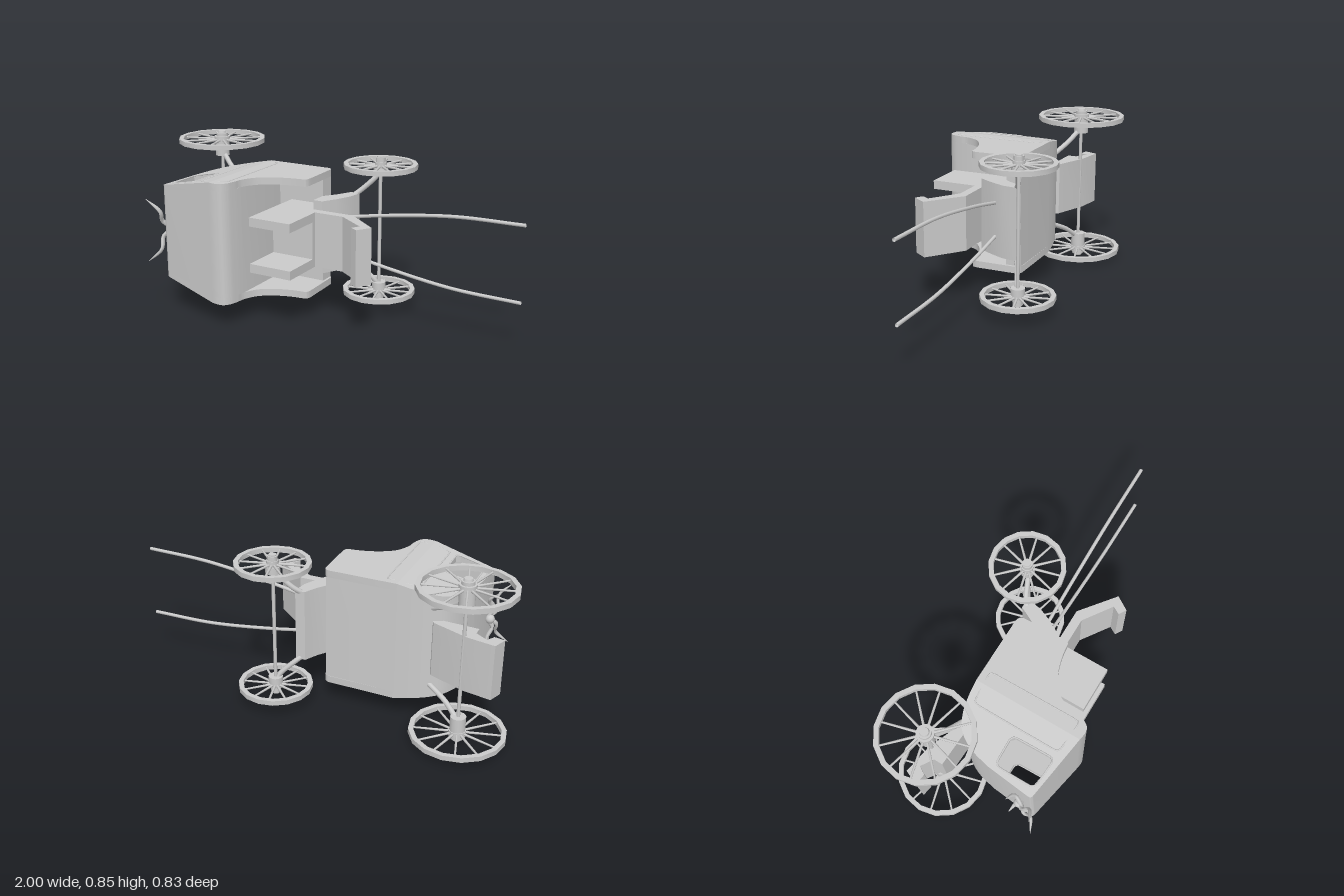
import * as THREE from 'three';
import { toCreasedNormals } from 'three/addons/utils/BufferGeometryUtils.js';

const grey = new THREE.MeshStandardMaterial({ color: 0xcccccc, side: THREE.DoubleSide });
const V = (x, y, z) => new THREE.Vector3(x, y, z);
const V2 = (pts) => pts.map(([x, y]) => new THREE.Vector2(x, y));
const HALF = 0.3075, WALL = 0.036, SPLIT = -0.42;

// Body narrows toward the rear
const taper = (x) => (x > SPLIT ? 1 : 1 - 0.215 * Math.min(1, (SPLIT - x) / 0.33));

function add(parent, name, geo) {
  const mesh = new THREE.Mesh(geo, grey);
  mesh.name = name;
  parent.add(mesh);
  return mesh;
}

// Extrude a side profile between two widths, optionally tapered
function slab(shape, z0, z1, tapered = false) {
  const geo = new THREE.ExtrudeGeometry(shape, { depth: z1 - z0, bevelEnabled: false, curveSegments: 6 });
  geo.translate(0, 0, z0);
  if (tapered) {
    const p = geo.attributes.position;
    for (let i = 0; i < p.count; i++) p.setZ(i, p.getZ(i) * taper(p.getX(i)));
  }
  return toCreasedNormals(geo, 0.6);
}

const poly = (pts) => new THREE.Shape(V2(pts));

function tube(points, r, seg = 16, closed = false, tension = 0.5) {
  const curve = new THREE.CatmullRomCurve3(points, closed, 'catmullrom', tension);
  return new THREE.TubeGeometry(curve, seg, r, 8, closed);
}

// Rounded four-cornered loop: two points beside each corner
function loopPoints(corners, inset = 0.02) {
  const c = V2(corners), out = [];
  c.forEach((p, i) => {
    for (const q of [c[(i + 3) % 4], c[(i + 1) % 4]]) {
      out.push(p.clone().add(q.clone().sub(p).setLength(inset)));
    }
  });
  return out;
}

const windowCorners = [[-0.705, 0.13], [-0.555, 0.13], [-0.55, 0.35], [-0.705, 0.335]];
const doorCorners = [[-0.515, -0.1], [-0.355, -0.11], [-0.35, 0.365], [-0.515, 0.35]];
const floorCurve = [[-0.5, -0.138], [-0.58, -0.12], [-0.65, -0.08], [-0.7, 0], [-0.727, 0.107]];
const roofFront = [[-0.355, 0.405], [-0.333, 0.375], [-0.322, 0.33], [-0.315, 0.283]];

function rearOutline(shape) {
  shape.splineThru(V2(floorCurve));
  shape.lineTo(-0.75, 0.33);
  shape.quadraticCurveTo(-0.752, 0.347, -0.735, 0.35);
  shape.lineTo(SPLIT, 0.406);
}

function body(parent) {
  const g = new THREE.Group();
  g.name = 'cab';
  parent.add(g);

  // Roof, rear, floor and front wall as one hollow shell
  const shell = new THREE.Shape();
  shell.moveTo(SPLIT, -0.145);
  rearOutline(shell);
  shell.lineTo(-0.385, 0.412);
  shell.splineThru(V2(roofFront));
  for (const [x, y] of [[-0.315, -0.06], [-0.06, -0.06], [-0.06, -0.14]]) shell.lineTo(x, y);
  shell.closePath();
  shell.holes.push(new THREE.Path(V2([[-0.345, -0.11], [-0.345, 0.3], [-0.39, 0.38], [SPLIT, 0.375],
    [-0.72, 0.32], [-0.695, 0.1], [-0.66, 0], [-0.6, -0.07], [-0.5, -0.105], [SPLIT, -0.11]])));
  add(g, 'cabShell', slab(shell, -HALF + WALL, HALF - WALL, true));

  // Side walls: rear half has the window, front half sweeps down
  const rear = new THREE.Shape();
  rear.moveTo(SPLIT, -0.145);
  rearOutline(rear);
  rear.closePath();
  rear.holes.push(new THREE.Path(loopPoints(windowCorners)));
  const front = new THREE.Shape();
  front.moveTo(SPLIT, -0.145);
  front.lineTo(SPLIT, 0.406);
  front.lineTo(-0.385, 0.412);
  front.splineThru(V2([...roofFront, [-0.278, 0.214], [-0.208, 0.166], [-0.128, 0.139], [-0.053, 0.128]]));
  front.quadraticCurveTo(-0.04, 0.12, -0.042, 0.08);
  front.lineTo(-0.048, -0.115);
  front.quadraticCurveTo(-0.05, -0.14, -0.08, -0.143);
  front.closePath();

  for (const s of [-1, 1]) {
    const z0 = s > 0 ? HALF - WALL : -HALF, z1 = z0 + WALL;
    add(g, 'rearSideWall', slab(rear, z0, z1, true));
    add(g, 'frontSideWall', slab(front, z0, z1, true));
    for (const [name, corners] of [['windowFrame', windowCorners], ['doorFrame', doorCorners]]) {
      const pts = loopPoints(corners).map((p) => V(p.x, p.y, s * HALF * taper(p.x)));
      add(g, name, tube(pts, 0.004, 64, true, 0.15));
    }
  }
}

// Wheel around the z axis; outward side is +z
function wheel(name, R, hubSteps) {
  const g = new THREE.Group();
  g.name = name;
  const ring = new THREE.Shape(), hole = new THREE.Path(), N = 16;
  for (let i = 0; i < N; i++) {
    const a = (i / N) * Math.PI * 2, c = Math.cos(a), s = Math.sin(a);
    const put = i ? 'lineTo' : 'moveTo';
    ring[put](R * c, R * s);
    hole[put]((R - 0.024) * c, (R - 0.024) * s);
  }
  ring.closePath();
  hole.closePath();
  ring.holes.push(hole);
  add(g, 'rim', slab(ring, -0.0125, 0.0125));
  for (let i = 0; i < 12; i++) {
    const spoke = new THREE.CylinderGeometry(0.005, 0.007, R - 0.03, 6);
    spoke.translate(0, (R - 0.03) / 2 + 0.015, 0).rotateZ((i + 0.5) * Math.PI / 6);
    add(g, 'spoke', spoke);
  }
  const hub = new THREE.LatheGeometry(V2(hubSteps), 16).rotateX(Math.PI / 2);
  add(g, 'hub', toCreasedNormals(hub, 0.6));
  return g;
}

function axleSet(parent, label, x, y, offset, R, hubSteps) {
  for (const s of [-1, 1]) {
    const w = wheel(label + 'Wheel', R, hubSteps);
    w.position.set(x, y, s * offset);
    if (s < 0) w.rotation.y = Math.PI;
    parent.add(w);
  }
  const axle = add(parent, label + 'Axle', new THREE.CylinderGeometry(0.009, 0.009, offset * 2, 10));
  axle.rotation.x = Math.PI / 2;
  axle.position.set(x, y, 0);
}

// Curling leaf: a flattened tube that thins to its tip
function leaf(points, r) {
  const seg = 14, radial = 6, curve = new THREE.CatmullRomCurve3(points);
  const geo = new THREE.TubeGeometry(curve, seg, r, radial);
  const p = geo.attributes.position, v = V(0, 0, 0);
  for (let i = 0; i < p.count; i++) {
    const t = Math.floor(i / (radial + 1)) / seg, c = curve.getPointAt(t);
    v.fromBufferAttribute(p, i).sub(c).multiplyScalar(0.1 + 0.9 * Math.sin(Math.PI * Math.min(1, 0.2 + 0.8 * t)));
    p.setXYZ(i, c.x + v.x * 0.6, c.y + v.y, c.z + v.z);
  }
  geo.computeVertexNormals();
  return geo;
}

export function createModel() {
  const model = new THREE.Group();
  model.name = 'carriageOnItsSide';
  // Built upright with width along z, then laid on its side
  const car = new THREE.Group();
  car.name = 'carriage';
  car.rotation.x = Math.PI / 2;
  car.position.y = 0.426;
  model.add(car);

  body(car);

  // Driver's seat with two side arms
  const seat = (name, y0, y1, z0, z1) => {
    const m = add(car, name, new THREE.BoxGeometry(0.23, y1 - y0, z1 - z0));
    m.position.set(-0.13, (y0 + y1) / 2, (z0 + z1) / 2);
  };
  seat('seatBase', -0.06, 0.12, -0.095, 0.095);
  seat('seatArm', -0.06, 0.33, 0.095, 0.14);
  seat('seatArm', -0.06, 0.33, -0.14, -0.095);

  // Footboard, front bracket and rear step
  add(car, 'footboard', slab(poly([[-0.05, 0.05], [0.17, 0.05], [0.345, 0.188], [0.3, 0.258],
    [0.262, 0.235], [0.285, 0.195], [0.14, 0.095], [-0.05, 0.095]]), -0.14, 0.14));
  add(car, 'frontBracket', slab(poly([[-0.05, 0.05], [0, 0.05], [0.04, -0.02], [0.075, -0.1], [0.085, -0.18],
    [0.035, -0.18], [0, -0.11], [-0.05, -0.04]]), -0.187, 0.187));
  add(car, 'rearStep', slab(poly([[-0.58, -0.09], [-0.81, -0.1], [-0.81, -0.145], [-0.87, -0.185], [-0.893, -0.145],
    [-0.945, -0.155], [-0.92, -0.225], [-0.78, -0.2], [-0.6, -0.13]]), -0.14, 0.14));

  // Wheels and axles
  axleSet(car, 'rear', -0.766, -0.187, 0.3775, 0.233, [[0, -0.086], [0.038, -0.086], [0.038, -0.012], [0.042, -0.012],
    [0.042, 0.019], [0.031, 0.019], [0.031, 0.036], [0.023, 0.036], [0.02, 0.047], [0, 0.047]]);
  axleSet(car, 'front', 0.176, -0.2315, 0.3315, 0.1875, [[0, -0.046], [0.036, -0.046], [0.036, -0.012], [0.03, -0.012],
    [0.03, 0.02], [0.025, 0.02], [0.025, 0.043], [0.019, 0.043], [0.019, 0.049], [0, 0.049]]);

  for (const s of [-1, 1]) {
    // Braces and draught shafts
    add(car, 'frontBrace', tube([V(0.05, -0.16, s * 0.17), V(0.09, -0.19, s * 0.205), V(0.15, -0.215, s * 0.265),
      V(0.17, -0.228, s * 0.3)], 0.013));
    add(car, 'rearBrace', tube([V(-0.58, -0.105, s * 0.2), V(-0.68, -0.145, s * 0.25),
      V(-0.75, -0.18, s * 0.305)], 0.013));
    add(car, 'shaft', tube([V(0.04, -0.05, s * 0.085), V(0.3, -0.05, s * 0.133), V(0.65, -0.05, s * 0.178),
      V(1, -0.05, s * 0.187)], 0.009, 24));
    // Leaf ornament on the rear wall
    add(car, 'ornamentLeaf', leaf([V(-0.745, 0.27, 0), V(-0.77, 0.3, s * 0.05), V(-0.755, 0.26, s * 0.11),
      V(-0.8, 0.24, s * 0.162)], 0.016));
    add(car, 'ornamentLeaf', leaf([V(-0.745, 0.28, 0), V(-0.785, 0.32, s * 0.04), V(-0.775, 0.35, s * 0.1),
      V(-0.835, 0.385, s * 0.165)], 0.013));
  }
  const boss = add(car, 'ornamentBoss', new THREE.SphereGeometry(0.024, 12, 8));
  boss.position.set(-0.76, 0.28, 0);
  return model;
}
